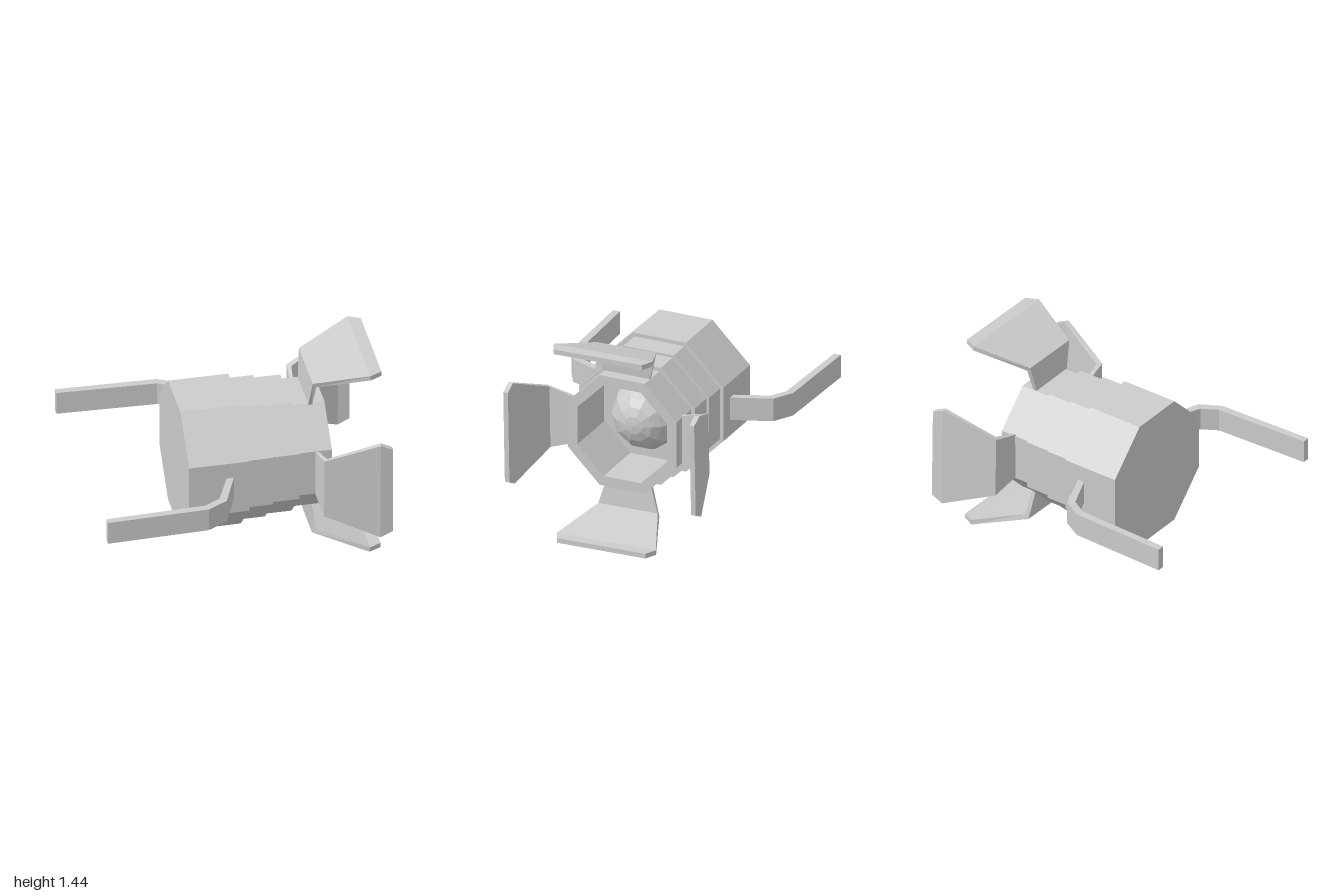
import * as THREE from 'three';

const AXIS_Y = 0.72, AXIS_Z = -0.008;

// Bent flat bar: each station is [xOuter, rOuter, xInner, rInner, halfWidth]
function bentBar(stations) {
  const rings = stations.map(([xo, ro, xi, ri, w]) => [
    [xo, ro, w], [xo, ro, -w], [xi, ri, -w], [xi, ri, w],
  ]);
  const pos = [];
  const quad = (a, b, c, d) => pos.push(...a, ...b, ...c, ...a, ...c, ...d);
  for (let i = 0; i < rings.length - 1; i++) {
    for (let j = 0; j < 4; j++) {
      const k = (j + 1) % 4;
      quad(rings[i][j], rings[i + 1][j], rings[i + 1][k], rings[i][k]);
    }
  }
  quad(...rings[0]);
  quad(...[...rings[rings.length - 1]].reverse());
  const geo = new THREE.BufferGeometry();
  geo.setAttribute('position', new THREE.Float32BufferAttribute(pos, 3));
  geo.computeVertexNormals();
  return geo;
}

export function createModel() {
  const model = new THREE.Group();
  model.name = 'stageLight';
  const grey = new THREE.MeshStandardMaterial({ color: 0xcccccc, flatShading: true });

  // Everything is laid out around the lamp axis, which points along +x
  const lamp = new THREE.Group();
  lamp.name = 'lamp';
  lamp.position.set(0, AXIS_Y, AXIS_Z);
  model.add(lamp);
  const add = (name, geo, turn = 0) => {
    const mesh = new THREE.Mesh(geo, grey);
    mesh.name = name;
    mesh.rotation.x = turn;
    lamp.add(mesh);
    return mesh;
  };

  // Stepped octagonal housing with a hollow front; profile is [apothem, x]
  const profile = [
    [0, -0.36], [0.477, -0.36], [0.477, 0.055], [0.45, 0.055], [0.45, 0.225],
    [0.433, 0.225], [0.433, 0.41], [0.406, 0.41], [0.406, 0.64],
    [0.335, 0.64], [0.335, 0.22], [0, 0.22],
  ].map(([a, x]) => new THREE.Vector2(a / Math.cos(Math.PI / 8), x));
  add('housing', new THREE.LatheGeometry(profile, 8, Math.PI / 8).rotateZ(-Math.PI / 2));

  // Domed bulb on the cavity floor
  const dome = new THREE.SphereGeometry(0.252, 10, 6, 0, Math.PI * 2, 0, Math.PI / 2);
  dome.rotateY(Math.PI / 2).rotateZ(-Math.PI / 2);
  add('bulb', dome).position.set(0.22, -0.008, 0);

  // Four barn door flaps, very slightly twisted around the axis
  const flap = bentBar([
    [0.525, 0.385, 0.552, 0.385, 0.165],
    [0.545, 0.603, 0.57, 0.573, 0.222],
    [0.91, 0.713, 0.915, 0.678, 0.37],
    [0.995, 0.713, 0.995, 0.678, 0.33],
  ]);
  ['topFlap', 'leftFlap', 'bottomFlap', 'rightFlap'].forEach((name, i) =>
    add(name, flap, i * Math.PI / 2 + 0.018));

  // Yoke arms on both sides, running back from the housing
  const arm = bentBar([
    [-1, 0.85, -1, 0.8, 0.083],
    [-0.3, 0.828, -0.31, 0.775, 0.083],
    [-0.158, 0.748, -0.2, 0.71, 0.083],
    [-0.045, 0.46, -0.095, 0.46, 0.083],
  ]);
  add('leftArm', arm, Math.PI / 2);
  add('rightArm', arm, -Math.PI / 2);

  return model;
}
